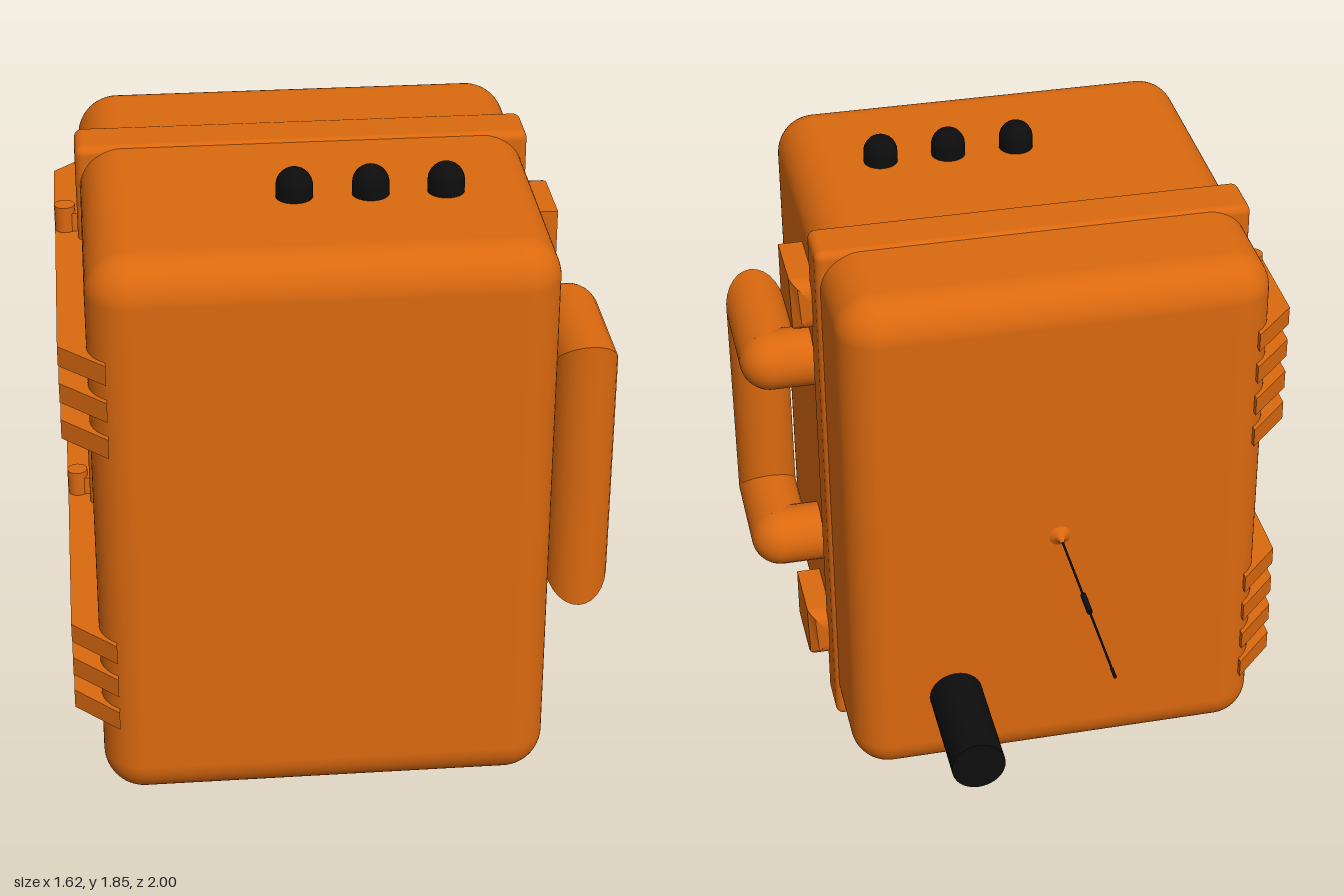
import * as THREE from 'three';
import { RoundedBoxGeometry } from 'three/addons/geometries/RoundedBoxGeometry.js';

export function createModel() {
  const model = new THREE.Group();
  const orange = new THREE.MeshStandardMaterial({ color: 0xdb690f });
  orange.name = 'orangePlastic';
  const black = new THREE.MeshStandardMaterial({ color: 0x0d0d0d });
  black.name = 'blackRubber';

  const CX = -0.075, CY = 0.893;

  function add(name, geometry, material, x = 0, y = 0, z = 0, parent = model) {
    const mesh = new THREE.Mesh(geometry, material);
    mesh.name = name;
    mesh.position.set(x, y, z);
    parent.add(mesh);
    return mesh;
  }
  function group(name) {
    const g = new THREE.Group();
    g.name = name;
    model.add(g);
    return g;
  }
  // Move every vertex by a rule, then refresh the normals if asked
  function reshape(geometry, rule) {
    const p = geometry.attributes.position;
    const v = new THREE.Vector3();
    for (let i = 0; i < p.count; i++) {
      rule(v.fromBufferAttribute(p, i));
      p.setXYZ(i, v.x, v.y, v.z);
    }
    return geometry;
  }
  const lathe = (pts, n) => new THREE.LatheGeometry(pts.map(([r, y]) => new THREE.Vector2(r, y)), n);

  // Case and the raised seam around it
  add('caseBody', new RoundedBoxGeometry(1.31, 1.75, 1.31, 8, 0.12), orange, CX, CY, 0.345);
  add('seamBand', new RoundedBoxGeometry(1.335, 1.775, 0.165, 4, 0.025), orange, CX, 0.888, 0.117);

  // Domed knobs on top
  const knobProfile = [[0.053, -0.03], [0.053, 0.032]];
  for (let i = 1; i <= 8; i++) {
    const a = (i / 8) * Math.PI / 2;
    knobProfile.push([Math.max(0, 0.053 * Math.cos(a)), 0.032 + 0.053 * Math.sin(a)]);
  }
  for (const x of [-0.13, 0.086, 0.3]) add('knob', lathe(knobProfile, 24), black, x, 1.77, 0.568);

  // Rear outlet
  add('rearOutlet', new THREE.CylinderGeometry(0.084, 0.084, 0.37, 32).rotateX(Math.PI / 2), black, 0.257, 0.32, -0.475);

  // Rear antenna with flared foot and a thicker sleeve
  const antenna = group('antenna');
  const foot = [[0.038, 0], [0.022, 0.009], [0.012, 0.02], [0.006, 0.038], [0, 0.042]];
  add('antennaFoot', lathe(foot, 20).rotateX(-Math.PI / 2), orange, CX, CY, -0.308, antenna);
  const rod = (name, r, z0, z1) =>
    add(name, new THREE.CylinderGeometry(r, r, z0 - z1, 10).rotateX(Math.PI / 2), black, CX, CY, (z0 + z1) / 2, antenna);
  rod('antennaRod', 0.0035, -0.31, -1);
  rod('antennaSleeve', 0.009, -0.61, -0.695);
  rod('antennaTip', 0.005, -0.96, -1);

  // Carrying handle: mitred bar and arms, round elbows, posts into the case
  const handle = group('handle');
  const R = 0.095, HX = 0.71, HZ = 0.635, EZ = 0.335, half = 0.343;
  const tube = (len) => new THREE.CylinderGeometry(R, R, len, 28);
  add('handleBar', reshape(tube(half * 2), (v) => { v.y += Math.sign(v.y) * v.z; }), orange, HX, CY, HZ, handle);
  for (const s of [1, -1]) {
    const arm = reshape(tube(HZ - EZ).rotateX(Math.PI / 2), (v) => { if (v.z > 0) v.z += s * v.y; });
    const y = CY + s * half;
    add('handleArm', arm, orange, HX, y, (HZ + EZ) / 2, handle);
    add('handleElbow', new THREE.SphereGeometry(R, 28, 18), orange, HX, y, EZ, handle);
    add('handlePost', tube(0.2).rotateZ(Math.PI / 2), orange, HX - 0.1, y, EZ, handle);
  }

  // Latches: plates with a rounded, curved-down end over the seam
  const latch = new THREE.Shape();
  latch.moveTo(-0.4, -0.085);
  latch.lineTo(-0.19, -0.085);
  latch.quadraticCurveTo(-0.14, -0.08, -0.14, -0.03);
  latch.lineTo(-0.14, 0.03);
  latch.quadraticCurveTo(-0.14, 0.08, -0.19, 0.085);
  latch.lineTo(-0.4, 0.085);
  for (const y of [1.525, 0.255]) {
    const g = new THREE.ExtrudeGeometry(latch, { depth: 0.105, bevelEnabled: false, curveSegments: 8 });
    g.rotateY(Math.PI / 2).translate(0.55, 0, 0);
    reshape(g, (v) => {
      if (v.z < 0.2) v.x = Math.min(v.x, 0.6 + 0.055 * Math.sqrt(Math.max(0, 1 - ((0.2 - v.z) / 0.06) ** 2)));
    });
    g.computeVertexNormals();
    add('latch', g, orange, 0, y, 0);
  }

  // Hinges: interleaved lid and base ribs around a pin
  function rib(name, points, y, parent) {
    const shape = new THREE.Shape(points.map(([x, z]) => new THREE.Vector2(x, -z)));
    const g = new THREE.ExtrudeGeometry(shape, { depth: 0.06, bevelEnabled: false }).rotateX(-Math.PI / 2);
    add(name, g, orange, 0, y - 0.03, 0, parent);
  }
  const frontRib = [[-0.68, 0.09], [-0.79, 0.09], [-0.81, 0.11], [-0.81, 0.87], [-0.68, 0.999]];
  const rearRib = [[-0.68, 0.135], [-0.79, 0.135], [-0.81, 0.115], [-0.81, -0.18], [-0.68, -0.309]];
  for (const y of [1.336, 0.425]) {
    const hinge = group('hinge');
    for (let i = -1; i <= 1; i++) rib('frontHingeRib', frontRib, y + i * 0.115, hinge);
    for (let i = -1.5; i <= 1.5; i++) rib('rearHingeRib', rearRib, y + i * 0.115, hinge);
    add('hingePin', new THREE.CylinderGeometry(0.031, 0.031, 0.43, 16), orange, -0.779, y + 0.009, 0.112, hinge);
  }

  return model;
}
